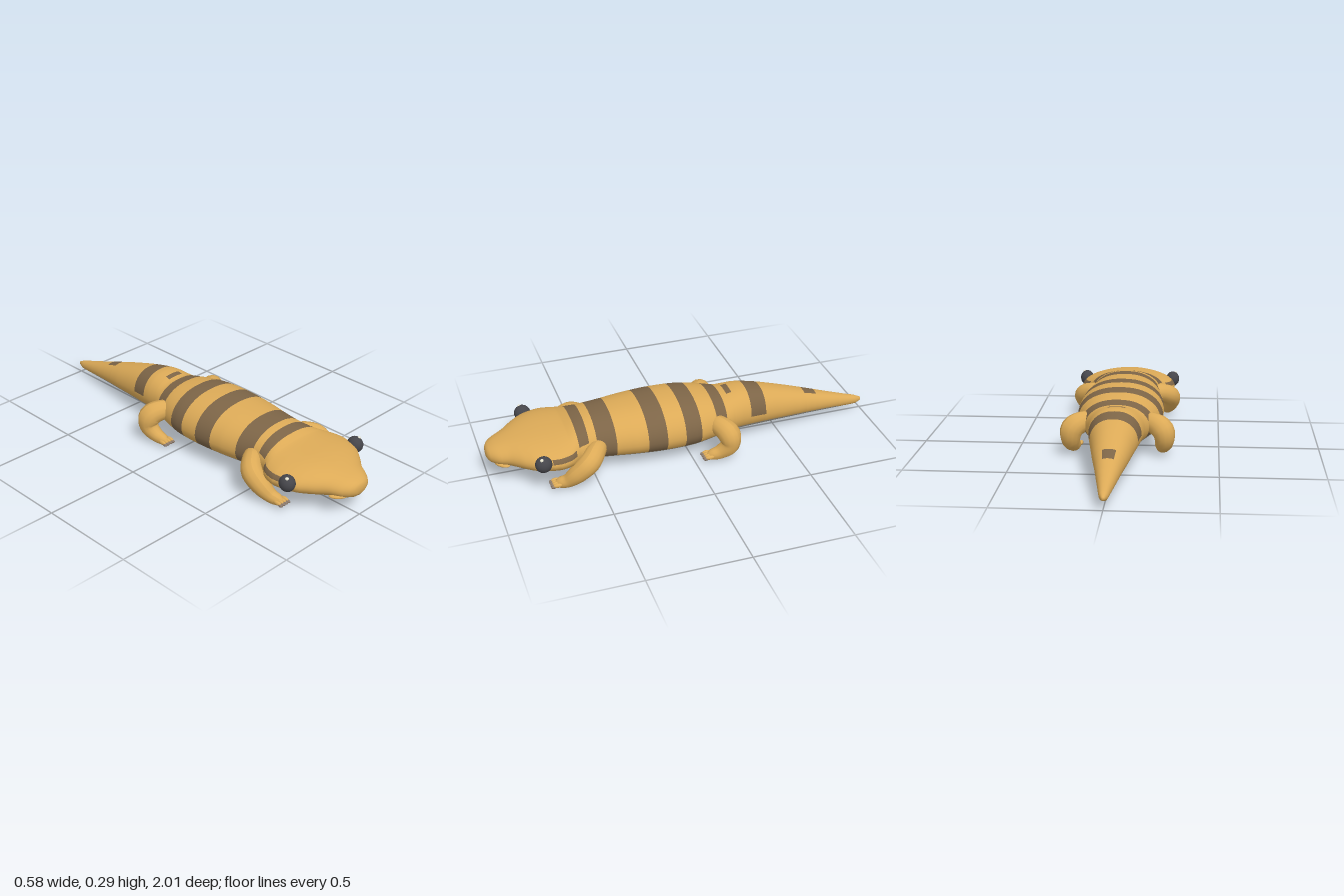
import * as THREE from 'three';

const material = (name, color) => {
  const m = new THREE.MeshStandardMaterial({ color });
  m.name = name;
  return m;
};

// Body stations from snout to tail: z, bottom y, widest y, top y, half width
const STATIONS = [
  [1.0, 0.118, 0.14, 0.162, 0.035], [0.985, 0.1, 0.14, 0.178, 0.068], [0.95, 0.09, 0.14, 0.192, 0.1],
  [0.9, 0.084, 0.145, 0.206, 0.13], [0.85, 0.08, 0.148, 0.217, 0.178], [0.8, 0.076, 0.15, 0.225, 0.22],
  [0.75, 0.073, 0.152, 0.23, 0.244], [0.68, 0.069, 0.152, 0.234, 0.256], [0.62, 0.065, 0.152, 0.24, 0.238],
  [0.57, 0.06, 0.152, 0.26, 0.2], [0.5, 0.053, 0.152, 0.274, 0.182], [0.4, 0.047, 0.15, 0.281, 0.191],
  [0.3, 0.042, 0.15, 0.288, 0.206], [0.15, 0.034, 0.15, 0.295, 0.217], [0, 0.034, 0.15, 0.29, 0.213],
  [-0.1, 0.04, 0.15, 0.277, 0.19], [-0.2, 0.046, 0.15, 0.258, 0.155], [-0.24, 0.048, 0.15, 0.264, 0.142],
  [-0.3, 0.048, 0.15, 0.268, 0.133], [-0.4, 0.047, 0.142, 0.251, 0.118], [-0.5, 0.046, 0.128, 0.225, 0.101],
  [-0.6, 0.044, 0.115, 0.195, 0.085], [-0.7, 0.041, 0.1, 0.163, 0.066], [-0.8, 0.038, 0.083, 0.13, 0.049],
  [-0.9, 0.035, 0.066, 0.098, 0.032], [-0.97, 0.034, 0.056, 0.077, 0.02], [-1.0, 0.045, 0.054, 0.063, 0.008],
];

// Markings: z range, then angle range from the spine in degrees
const MARKINGS = [
  [0.525, 0.577, 0, 67.5], [0.39, 0.485, 0, 125], [0.14, 0.235, 0, 125], [-0.04, 0.045, 0, 125],
  [-0.19, -0.13, 0, 125], [-0.25, -0.222, 0, 15], [-0.415, -0.33, 0, 90], [-0.73, -0.66, 0, 22.5],
  [0.595, 0.72, 67.5, 82.5],
];
const BELLY = [-0.86, 0.75, 120, 181];

// Smooth interpolation of all station columns at a given z
function sectionAt(z) {
  let i = 0;
  while (i < STATIONS.length - 2 && STATIONS[i + 1][0] > z) i++;
  const a = STATIONS[i], b = STATIONS[i + 1];
  const p = STATIONS[Math.max(i - 1, 0)], n = STATIONS[Math.min(i + 2, STATIONS.length - 1)];
  const h = b[0] - a[0], t = (z - a[0]) / h;
  return a.map((v, k) => {
    const m0 = ((b[k] - p[k]) / (b[0] - p[0])) * h, m1 = ((n[k] - a[k]) / (n[0] - a[0])) * h;
    return v * (2 * t ** 3 - 3 * t * t + 1) + m0 * (t ** 3 - 2 * t * t + t)
      + b[k] * (3 * t * t - 2 * t ** 3) + m1 * (t ** 3 - t * t);
  });
}

function bodyGeometry() {
  const SEG = 48;
  const zs = new Set(STATIONS.map((s) => s[0]));
  [...MARKINGS, BELLY].forEach((m) => { zs.add(m[0]); zs.add(m[1]); });
  for (let z = 0.9625; z > -0.98; z -= 0.025) zs.add(z);
  zs.add(0.994);
  const rows = [...zs].sort((a, b) => b - a);
  const pos = [];
  for (const z of rows) {
    const [, low, mid, top, w] = sectionAt(z);
    for (let j = 0; j < SEG; j++) {
      const a = (j / SEG) * Math.PI * 2, s = Math.sin(a), c = Math.cos(a);
      pos.push(w * Math.sign(s) * Math.abs(s) ** 0.88, mid + c * (c > 0 ? top - mid : mid - low), z);
    }
  }
  const faces = [[], [], []]; // skin, bands, belly
  const inside = (m, z, deg) => z > m[0] && z < m[1] && deg > m[2] && deg < m[3];
  for (let i = 0; i < rows.length - 1; i++) {
    for (let j = 0; j < SEG; j++) {
      const z = (rows[i] + rows[i + 1]) / 2;
      let deg = ((j + 0.5) / SEG) * 360;
      if (deg > 180) deg = 360 - deg;
      const slot = inside(BELLY, z, deg) ? 2 : MARKINGS.some((m) => inside(m, z, deg)) ? 1 : 0;
      const k = (j + 1) % SEG, a = i * SEG + j, b = i * SEG + k, c = a + SEG, d = b + SEG;
      faces[slot].push(a, b, c, b, d, c);
    }
  }
  // Snout and tail caps
  const last = (rows.length - 1) * SEG, centre = pos.length / 3;
  pos.push(0, 0.14, 1.003, 0, 0.054, -1.003);
  for (let j = 0; j < SEG; j++) {
    const k = (j + 1) % SEG;
    faces[0].push(centre, k, j, centre + 1, last + j, last + k);
  }
  const g = new THREE.BufferGeometry();
  g.setAttribute('position', new THREE.Float32BufferAttribute(pos, 3));
  g.setIndex(faces.flat());
  let start = 0;
  faces.forEach((f, i) => { g.addGroup(start, f.length, i); start += f.length; });
  g.computeVertexNormals();
  return g;
}

// Tapered tube through points [x, y, z, radius]
function limbGeometry(points, side) {
  const N = 24, R = 14;
  const curve = new THREE.CatmullRomCurve3(points.map((p) => new THREE.Vector3(p[0] * side, p[1], p[2])));
  const radii = new THREE.CatmullRomCurve3(points.map((p) => new THREE.Vector3(p[3], 0, 0)));
  const g = new THREE.TubeGeometry(curve, N, 1, R, false);
  const p = g.attributes.position, v = new THREE.Vector3();
  for (let i = 0; i <= N; i++) {
    const c = curve.getPointAt(i / N);
    const r = Math.max(radii.getPoint(curve.getUtoTmapping(i / N)).x, 0.002);
    for (let j = 0; j <= R; j++) {
      const k = i * (R + 1) + j;
      v.fromBufferAttribute(p, k).sub(c).multiplyScalar(r).add(c);
      p.setXYZ(k, v.x, Math.max(v.y, 0), v.z);
    }
  }
  g.computeVertexNormals();
  return g;
}

export function createModel() {
  const skin = material('ochre skin', 0xdcaa57);
  const band = material('brown bands', 0x7d6547);
  const belly = material('grey belly', 0xaea594);
  const eyeDark = material('dark eye', 0x46464b);
  const glint = material('eye glint', 0xe6e3cf);
  const claw = material('claw', 0x8c7a6b);

  const model = new THREE.Group();
  model.name = 'lizard';
  const add = (name, geometry, mat, parent = model) => {
    const mesh = new THREE.Mesh(geometry, mat);
    mesh.name = name;
    parent.add(mesh);
    return mesh;
  };
  const ball = (name, mat, at, size, parent = model) => {
    const mesh = add(name, new THREE.SphereGeometry(1, 20, 14), mat, parent);
    mesh.position.set(...at);
    mesh.scale.set(...size);
    return mesh;
  };

  add('body', bodyGeometry(), [skin, band, belly]);
  ball('mouth', band, [0, 0.107, 0.988], [0.018, 0.002, 0.006]);

  const legs = {
    frontLeg: {
      path: [[0.13, 0.16, 0.45, 0.03], [0.18, 0.158, 0.49, 0.047], [0.235, 0.13, 0.54, 0.052],
        [0.235, 0.08, 0.6, 0.047], [0.218, 0.038, 0.65, 0.034], [0.208, 0.028, 0.69, 0.027], [0.208, 0.025, 0.715, 0.004]],
      foot: [0.208, 0.71],
    },
    backLeg: {
      path: [[0.11, 0.16, -0.11, 0.03], [0.165, 0.162, -0.14, 0.05], [0.222, 0.135, -0.175, 0.057],
        [0.232, 0.08, -0.175, 0.048], [0.222, 0.04, -0.13, 0.036], [0.216, 0.028, -0.08, 0.026], [0.216, 0.025, -0.055, 0.004]],
      foot: [0.216, -0.06],
    },
  };

  for (const side of [1, -1]) {
    const label = side > 0 ? 'left' : 'right';

    // Eye with a small glint
    ball(label + 'Eye', eyeDark, [side * 0.242, 0.172, 0.765], [0.037, 0.041, 0.041]);
    ball(label + 'EyeGlint', glint, [side * 0.256, 0.205, 0.775], [0.009, 0.008, 0.009]);

    // Fleshy lip at the corner of the snout
    const lip = ball(label + 'Lip', skin, [side * 0.083, 0.109, 0.935], [0.043, 0.011, 0.022]);
    lip.rotation.y = side * 0.75;

    // Legs with four clawed toes
    for (const [name, { path, foot }] of Object.entries(legs)) {
      const leg = new THREE.Group();
      leg.name = label + name[0].toUpperCase() + name.slice(1);
      model.add(leg);
      add('limb', limbGeometry(path, side), skin, leg);
      for (let i = 0; i < 4; i++) {
        const x = side * (foot[0] + (i - 1.5) * 0.017);
        ball('toe', skin, [x, 0.03, foot[1] - 0.008], [0.01, 0.011, 0.024], leg);
        ball('claw', claw, [x, 0.025, foot[1] + 0.012], [0.009, 0.008, 0.014], leg);
      }
    }
  }
  return model;
}
